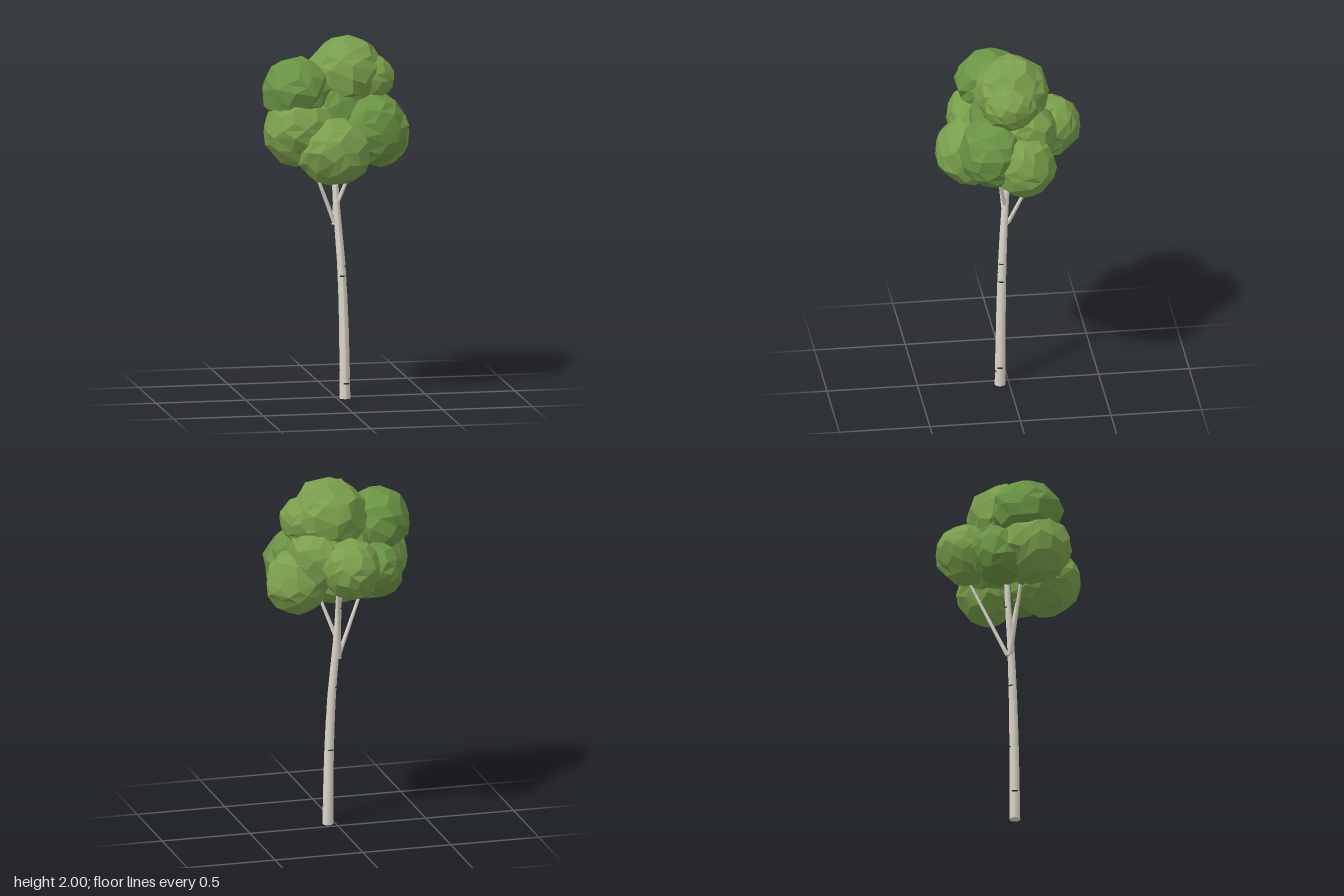
import * as THREE from 'three';

const bark = new THREE.MeshStandardMaterial({ color: 0xdcd6ca });
const dark = new THREE.MeshStandardMaterial({ color: 0x2a2724 });
const greens = [0x7a9f4c, 0x6a9344].map(
  (color) => new THREE.MeshStandardMaterial({ color, flatShading: true }));

const V = (x, y, z) => new THREE.Vector3(x, y, z);

// Tapered limb: a cylinder whose rings follow a curve
function limb(name, points, r0, r1, sides) {
  const curve = new THREE.CatmullRomCurve3(points);
  const geo = new THREE.CylinderGeometry(r1, r0, 1, sides, points.length > 2 ? 10 : 1);
  const p = geo.attributes.position;
  for (let i = 0; i < p.count; i++) {
    const c = curve.getPoint(THREE.MathUtils.clamp(p.getY(i) + 0.5, 0, 1));
    p.setXYZ(i, c.x + p.getX(i), c.y, c.z + p.getZ(i));
  }
  geo.computeVertexNormals();
  const mesh = new THREE.Mesh(geo, bark);
  mesh.name = name;
  return mesh;
}

// Repeatable value in 0..1 for a vertex, so coincident corners stay joined
function noise(x, y, z, seed) {
  const q = (a) => Math.round(a * 100);
  const s = Math.sin(q(x) * 12.99 + q(y) * 78.23 + q(z) * 37.72 + seed * 4.17) * 43758.55;
  return s - Math.floor(s);
}

// Faceted leaf clump with slightly uneven corners
function leafClump([x, y, z, rx, ry, rz], seed) {
  const geo = new THREE.DodecahedronGeometry(1, 1);
  geo.rotateY(seed * 1.3).rotateX(seed * 0.7);
  const p = geo.attributes.position;
  for (let i = 0; i < p.count; i++) {
    const v = V().fromBufferAttribute(p, i);
    v.multiplyScalar(0.94 + 0.1 * noise(v.x, v.y, v.z, seed));
    p.setXYZ(i, v.x * rx, v.y * ry, v.z * rz);
  }
  geo.computeVertexNormals();
  const mesh = new THREE.Mesh(geo, greens[seed % 3 === 1 ? 1 : 0]);
  mesh.position.set(x, y, z);
  mesh.name = 'leafClump';
  return mesh;
}

export function createModel() {
  const tree = new THREE.Group();
  tree.name = 'tree';

  // Leaning trunk
  const path = [V(0.043, 0, 0.05), V(0.038, 0.4, 0.045), V(0.025, 0.75, 0.035),
    V(0.003, 1.05, 0.018), V(-0.005, 1.3, 0), V(0, 1.6, -0.01)];
  const trunkCurve = new THREE.CatmullRomCurve3(path);
  tree.add(limb('trunk', path, 0.03, 0.013, 10));

  // Branches reaching into the crown
  const branches = [
    [V(-0.008, 0.97, 0.015), V(-0.18, 1.42, 0.05)],
    [V(-0.008, 0.96, 0.0), V(0.06, 1.45, -0.22)],
    [V(0.003, 1.07, 0.018), V(0.13, 1.42, 0.09)],
  ];
  for (const b of branches) tree.add(limb('branch', b, 0.013, 0.008, 7));

  // Dark bark marks: height, facing angle (0 = +x, 90 = +z)
  const marks = [[0.085, 80], [0.11, 10], [0.16, 190], [0.43, 265], [0.63, 15],
    [0.68, 95], [0.735, 25], [0.79, 215], [1.25, 245]];
  for (const [y, deg] of marks) {
    let t = 0;
    while (t < 1 && trunkCurve.getPoint(t).y < y) t += 0.005;
    const c = trunkCurve.getPoint(t);
    const arc = 1.1;
    const geo = new THREE.TorusGeometry(0.03 - 0.017 * t, 0.004, 4, 5, arc);
    geo.rotateZ(-arc / 2).rotateX(Math.PI / 2).rotateY(-THREE.MathUtils.degToRad(deg));
    const mark = new THREE.Mesh(geo, dark);
    mark.position.set(c.x, y, c.z);
    mark.name = 'barkMark';
    tree.add(mark);
  }

  // Crown: centre and radii of each clump
  const clumps = [
    [0.06, 1.795, -0.01, 0.215, 0.21, 0.21],
    [-0.235, 1.72, 0.065, 0.19, 0.19, 0.2],
    [-0.22, 1.51, 0.11, 0.21, 0.2, 0.205],
    [-0.05, 1.405, 0.2, 0.21, 0.195, 0.2],
    [0.19, 1.5, 0.11, 0.2, 0.205, 0.19],
    [0.255, 1.44, -0.06, 0.17, 0.185, 0.17],
    [-0.01, 1.545, -0.235, 0.165, 0.17, 0.165],
    [-0.18, 1.48, -0.07, 0.165, 0.17, 0.17],
    [0.13, 1.58, -0.08, 0.18, 0.18, 0.18],
    [0.185, 1.77, 0.01, 0.14, 0.14, 0.15],
    [-0.02, 1.58, 0.02, 0.2, 0.2, 0.2],
  ];
  const crown = new THREE.Group();
  crown.name = 'crown';
  clumps.forEach((c, i) => crown.add(leafClump(c, i)));
  tree.add(crown);
  return tree;
}
